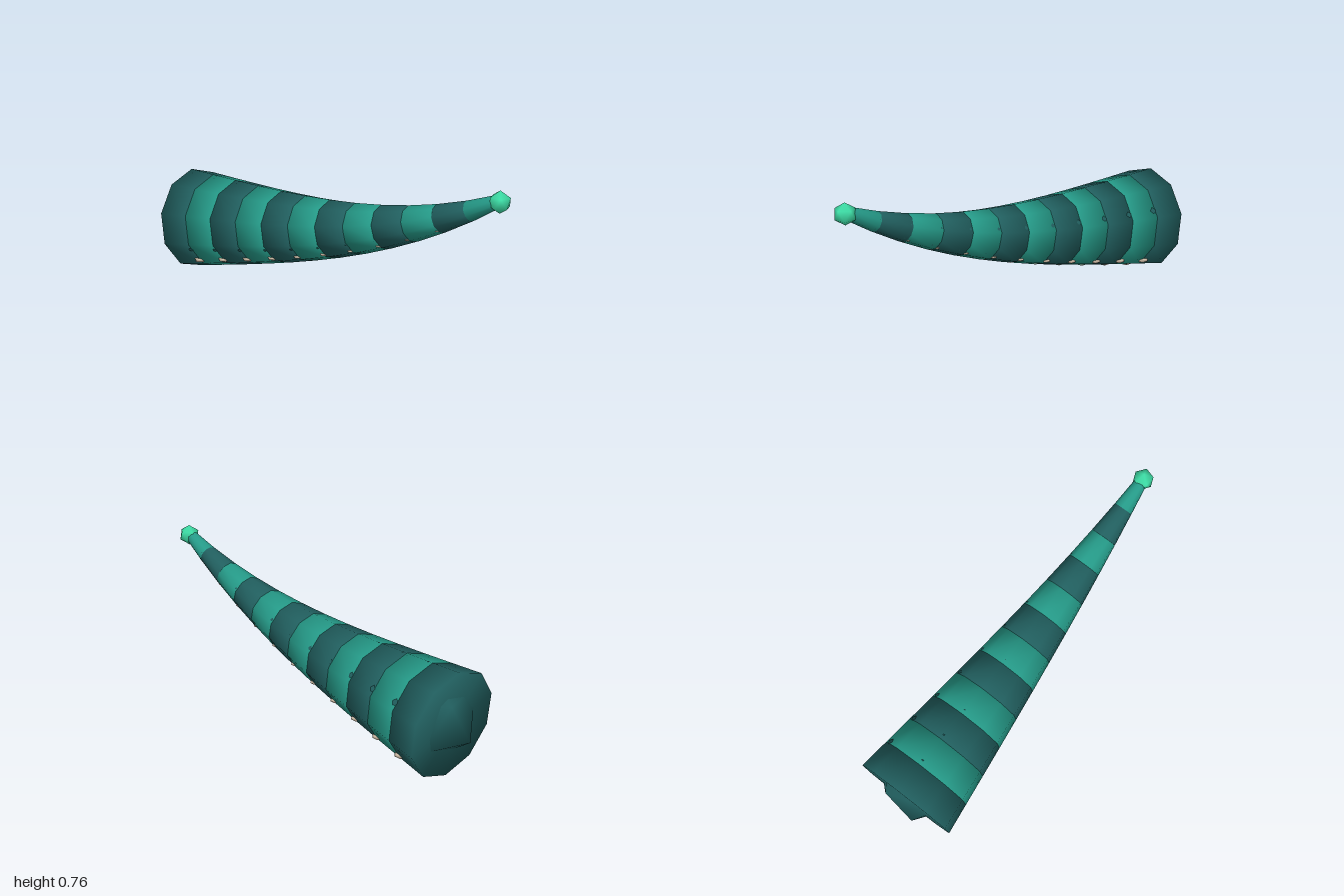
import * as THREE from 'three';
import { mergeVertices } from 'three/addons/utils/BufferGeometryUtils.js';

const COUNT = 12, START = -0.94, STEP = 1.894 / COUNT;

// centre line and radius of the tapering limb
const centre = (i) => {
  const s = i * STEP;
  return new THREE.Vector3(0, 0.27 + 0.105 * s + 0.251 * Math.pow(s / 1.894, 3.2), START + s);
};
const radius = (i) => 0.268 - 0.126 * i * STEP;

// weld corners so that shading runs smoothly over every edge
function smooth(geometry) {
  geometry.deleteAttribute('uv');
  geometry.deleteAttribute('normal');
  const welded = mergeVertices(geometry, 1e-4);
  welded.computeVertexNormals();
  return welded;
}

export function createModel() {
  const group = new THREE.Group();
  const paint = (name, color) => {
    const m = new THREE.MeshStandardMaterial({ color });
    m.name = name;
    return m;
  };
  const dark = paint('dark teal', 0x215f5f);
  const light = paint('light teal', 0x259a88);
  const bright = paint('bright mint', 0x3ee0a8);
  const beige = paint('beige', 0xcdbba5);

  const add = (name, geometry, material, position) => {
    const mesh = new THREE.Mesh(geometry, material);
    mesh.name = name;
    mesh.position.copy(position);
    group.add(mesh);
    return mesh;
  };

  // twenty-sided ball with one corner straight up
  const ball = smooth(new THREE.IcosahedronGeometry(1, 0)
    .rotateZ(-Math.atan(2 / (1 + Math.sqrt(5)))));

  // banded tapering segments
  const up = new THREE.Vector3(0, 1, 0);
  for (let i = 0; i < COUNT; i++) {
    const a = centre(i), b = centre(i + 1);
    const dir = b.clone().sub(a);
    const cone = smooth(new THREE.CylinderGeometry(radius(i + 1), radius(i), dir.length(), 10));
    const mesh = add('segment' + (i + 1), cone, i % 2 ? light : dark, a.clone().lerp(b, 0.5));
    mesh.quaternion.setFromUnitVectors(up, dir.normalize());
  }

  // joint balls inside the limb, with suckers along the underside
  for (let i = 1; i < COUNT; i++) {
    const c = centre(i), r = radius(i);
    add('joint' + i, ball, dark, c).scale.setScalar(r);
    if (i > 10) continue;
    for (const [x, y] of [[-0.61, -0.71], [0.12, -0.92], [0.61, -0.71]]) {
      const p = c.clone().add(new THREE.Vector3(x * r, y * r, 0.01));
      add('sucker', ball, beige, p).scale.set(0.14 * r, 0.07 * r, 0.14 * r);
    }
  }

  // bright knob at the end
  add('tip', ball, bright, new THREE.Vector3(0, 0.714, 0.954)).scale.setScalar(0.054);
  return group;
}
